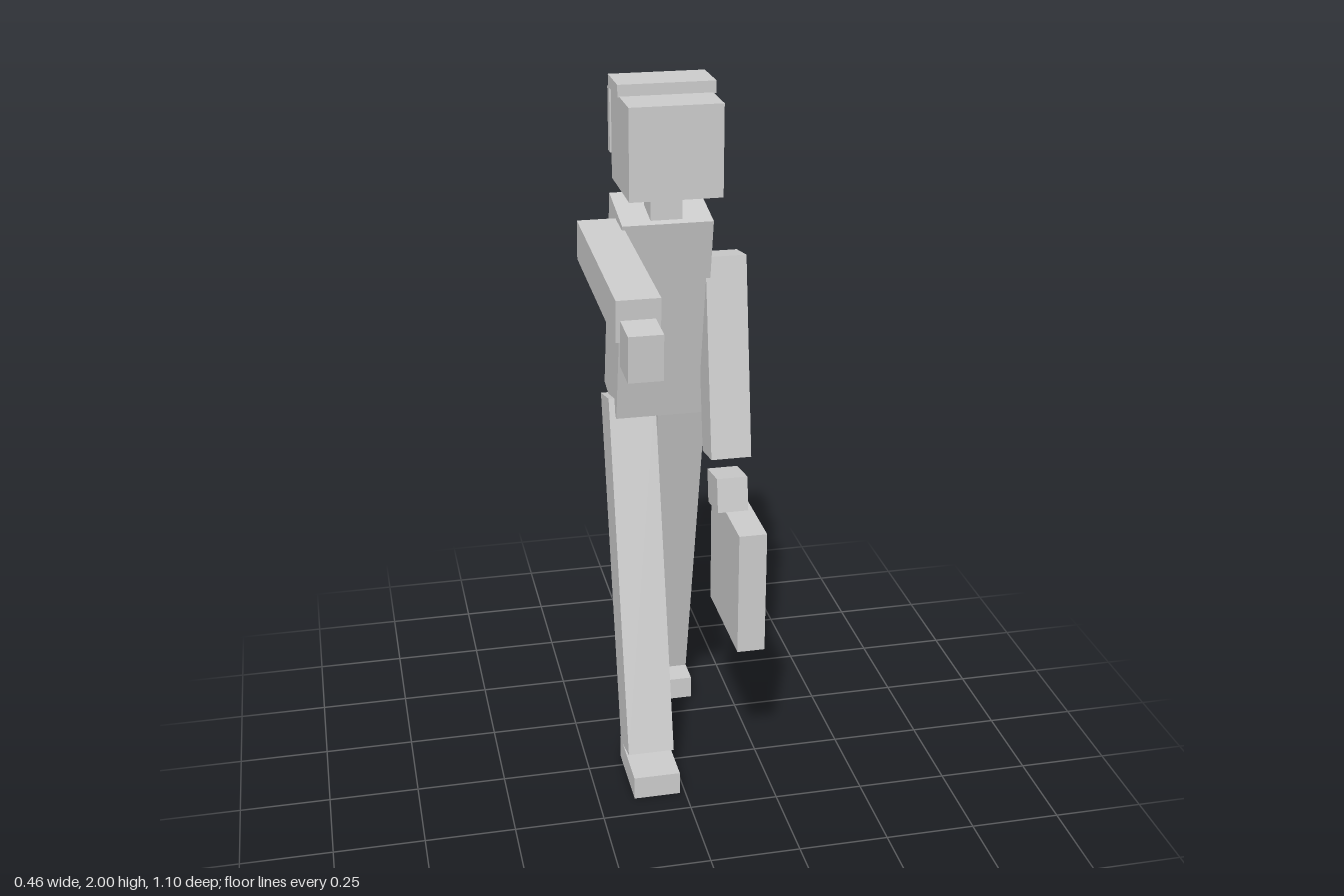
import * as THREE from 'three';

export function createModel() {
  const group = new THREE.Group();
  const grey = new THREE.MeshStandardMaterial({ color: 0xcccccc });
  grey.name = 'plain grey';

  // size and centre as [x, y, z], tilt about the x axis
  function block(name, size, centre, tilt = 0) {
    const mesh = new THREE.Mesh(new THREE.BoxGeometry(...size), grey);
    mesh.name = name;
    mesh.position.set(...centre);
    mesh.rotation.x = tilt;
    group.add(mesh);
  }

  // head with cap and the raised panels behind it
  block('head', [0.243, 0.24, 0.245], [-0.01, 1.85, -0.028]);
  block('hairTop', [0.256, 0.032, 0.135], [-0.008, 1.984, -0.098]);
  block('hairBack', [0.256, 0.17, 0.027], [-0.008, 1.883, -0.1625]);
  block('hairBun', [0.112, 0.09, 0.014], [-0.009, 1.922, -0.181]);
  block('neck', [0.085, 0.12, 0.085], [-0.01, 1.68, -0.073]);

  // torso leaning forward
  block('torso', [0.243, 0.602, 0.19], [-0.01, 1.363, -0.164], 0.208);

  // striding legs and flat feet
  block('rightLeg', [0.132, 1.038, 0.13], [-0.082, 0.58, -0.098], -0.245);
  block('leftLeg', [0.135, 1.038, 0.13], [0.061, 0.578, -0.348], 0.243);
  block('rightFoot', [0.132, 0.068, 0.223], [-0.082, 0.034, 0.0635]);
  block('leftFoot', [0.135, 0.068, 0.22], [0.061, 0.034, -0.438]);

  // right arm reaching forward
  block('rightArm', [0.11, 0.107, 0.565], [-0.179, 1.563, 0.171], 0.055);
  block('rightHand', [0.086, 0.118, 0.1], [-0.18, 1.488, 0.498], 0.055);

  // left arm hanging, carrying a case
  block('leftArm', [0.112, 0.557, 0.109], [0.156, 1.243, -0.061], -0.165);
  block('leftHand', [0.086, 0.097, 0.118], [0.157, 0.865, -0.003], -0.165 + 0.33);
  group.children[group.children.length - 1].rotation.x = -0.165;
  block('case', [0.078, 0.36, 0.333], [0.189, 0.62, -0.002]);

  return group;
}
